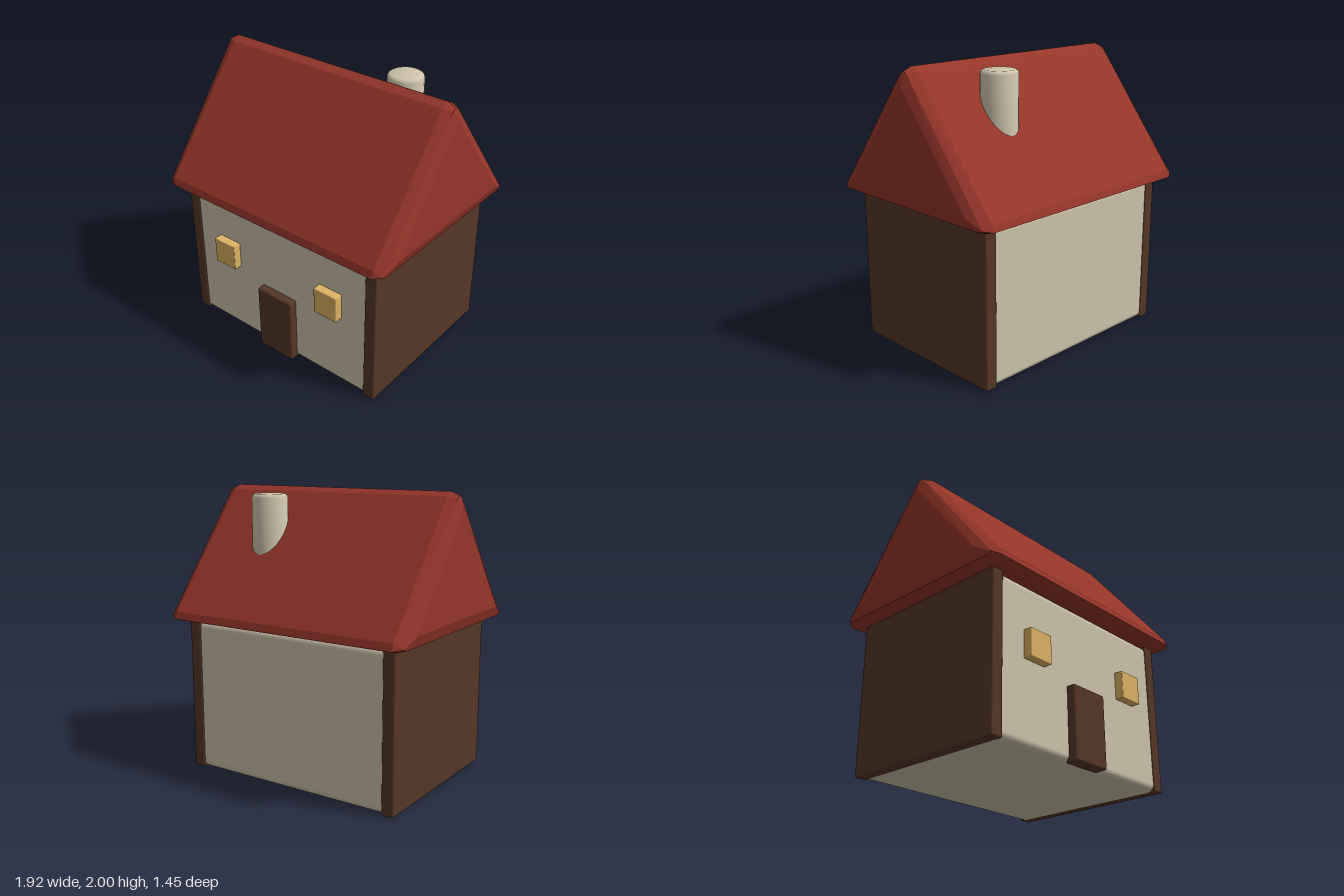
import * as THREE from 'three';
import { RoundedBoxGeometry } from 'three/addons/geometries/RoundedBoxGeometry.js';
import { ConvexGeometry } from 'three/addons/geometries/ConvexGeometry.js';
import { toCreasedNormals } from 'three/addons/utils/BufferGeometryUtils.js';

function material(name, color) {
  const m = new THREE.MeshStandardMaterial({ color });
  m.name = name;
  return m;
}

export function createModel() {
  const house = new THREE.Group();
  house.name = 'house';
  const plaster = material('plaster', 0xcfc4ac);
  const timber = material('timber', 0x553726);
  const tile = material('roofTile', 0x96362a);
  const glow = material('windowYellow', 0xdeb365);

  const add = (name, geometry, mat) => {
    const mesh = new THREE.Mesh(geometry, mat);
    mesh.name = name;
    house.add(mesh);
    return mesh;
  };
  // Rounded box given by its extents
  const block = (name, mat, [x0, x1], [y0, y1], [z0, z1], radius, segments = 2) => {
    const g = new RoundedBoxGeometry(x1 - x0, y1 - y0, z1 - z0, segments, radius);
    add(name, g, mat).position.set((x0 + x1) / 2, (y0 + y1) / 2, (z0 + z1) / 2);
  };

  // Plaster walls, timber gable walls and front openings
  block('walls', plaster, [-0.79, 0.79], [0, 1.08], [-0.61, 0.61], 0.05, 4);
  for (const [side, s] of [['left', 1], ['right', -1]]) {
    const span = (a, b) => (s > 0 ? [a, b] : [-b, -a]);
    block(side + 'TimberWall', timber, span(0.745, 0.835), [0.002, 1.085], [-0.618, 0.618], 0.012);
    block(side + 'Window', glow, span(0.365, 0.553), [0.56, 0.755], [0.56, 0.67], 0.006);
  }
  block('door', timber, [-0.152, 0.152], [0.003, 0.505], [0.56, 0.67], 0.015);

  // Gabled roof: cross-sections shrink toward each end to make the bevels
  const sections = [
    [0.87, [[0, 2], [0.058, 1.97], [0.71, 1.15], [0.727, 1.1], [0.66, 1.08]]],
    [0.93, [[0, 1.975], [0.03, 1.96], [0.69, 1.115], [0.66, 1.1]]],
    [0.96, [[0, 1.89], [0.57, 1.18]]],
  ];
  const points = [];
  for (const [x, profile] of sections)
    for (const [z, y] of profile)
      for (const sx of [-1, 1])
        for (const sz of z ? [-1, 1] : [1]) points.push(new THREE.Vector3(sx * x, y, sz * z));
  add('roof', new ConvexGeometry(points), tile);

  // Round chimney with a softened rim
  const rim = [[0, 1.2], [0.125, 1.2], [0.125, 1.935], [0.119, 1.951], [0.104, 1.96], [0, 1.96]];
  const chimney = new THREE.LatheGeometry(rim.map(([r, y]) => new THREE.Vector2(r, y)), 24);
  add('chimney', toCreasedNormals(chimney, 0.8), plaster).position.set(0.38, 0, -0.268);

  return house;
}
